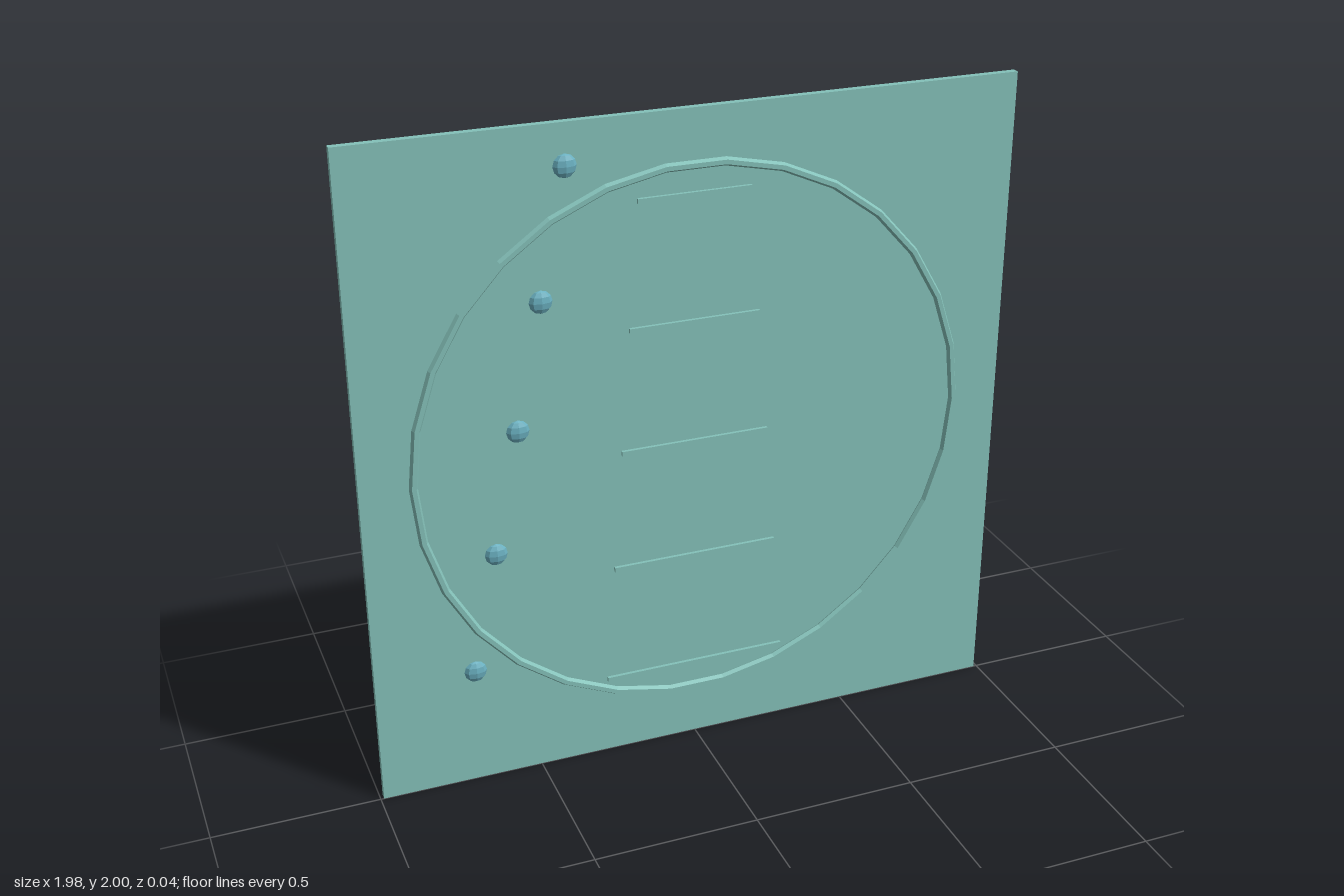
import * as THREE from 'three';

export function createModel() {
  const model = new THREE.Group();
  const teal = new THREE.MeshStandardMaterial({ color: 0x84c1b9, flatShading: true });
  const blue = new THREE.MeshStandardMaterial({ color: 0x6ab0c0, flatShading: true });

  const add = (name, geometry, material, x, y, z) => {
    const mesh = new THREE.Mesh(geometry, material);
    mesh.name = name;
    mesh.position.set(x, y, z);
    model.add(mesh);
    return mesh;
  };

  // Thin backing panel
  add('panel', new THREE.BoxGeometry(1.98, 2, 0.022), teal, 0, 1, -0.011);

  // Large faceted ring resting on the front face
  add('ring', new THREE.TorusGeometry(0.838, 0.013, 6, 30), teal, 0, 1.01, 0.01);

  // Five rows, wider and further out toward the bottom
  const stud = new THREE.SphereGeometry(0.034, 8, 6);
  for (let i = 0; i < 5; i++) {
    const y = 0.254 + i * 0.376;
    const width = 0.568 - i * 0.058;
    add(`bar${i + 1}`, new THREE.BoxGeometry(width, 0.014, 0.014), teal, 0, y, 0.003);

    // Flattened stud to the side of each bar
    add(`stud${i + 1}`, stud, blue, -0.69 + i * 0.08, y + 0.122, 0).scale.z = 0.5;
  }
  return model;
}
